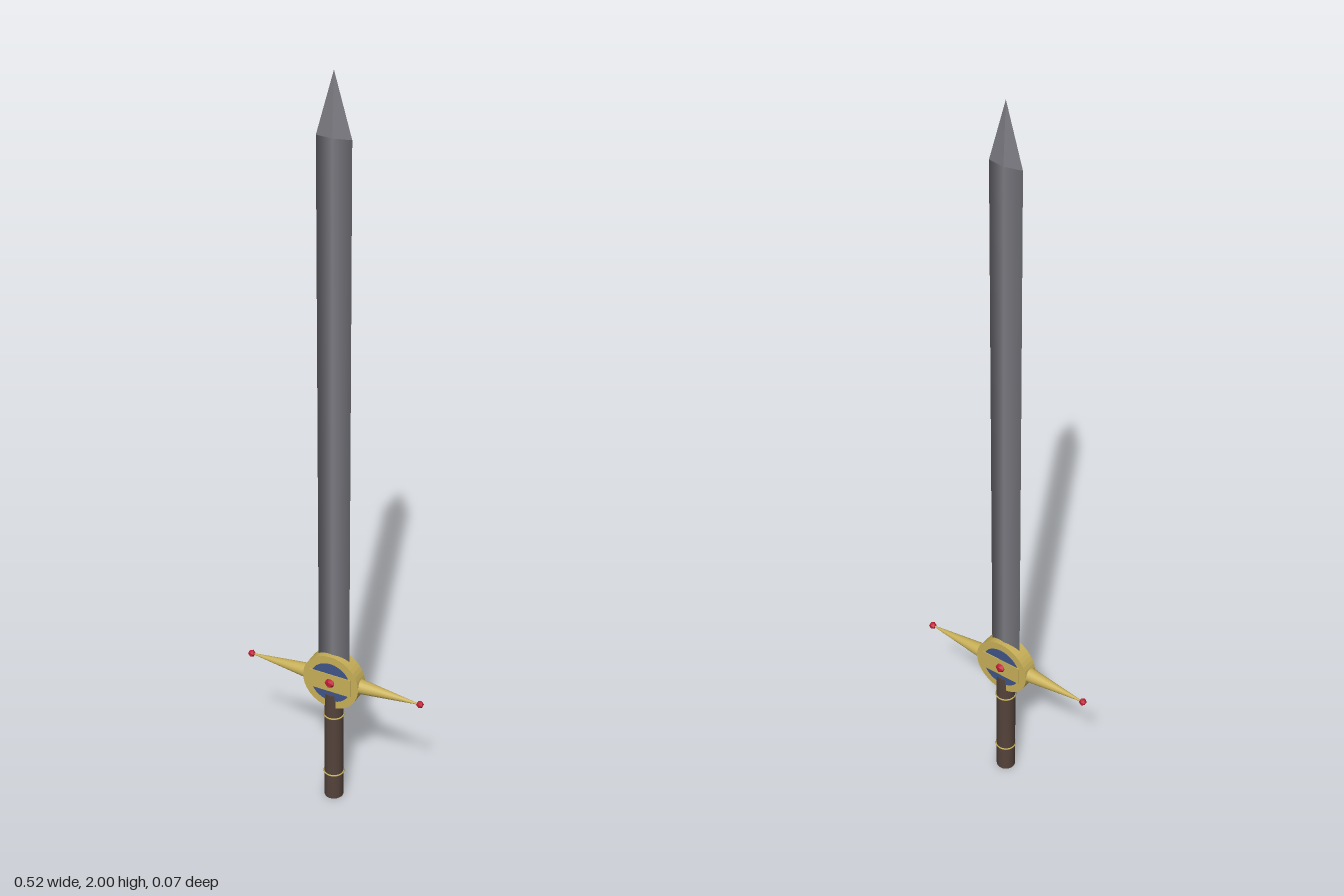
import * as THREE from 'three';

const mat = (color, flatShading = false) => new THREE.MeshStandardMaterial({ color, flatShading });

export function createModel() {
  const model = new THREE.Group();
  const steel = mat(0x7d7d84), steelFlat = mat(0x7d7d84, true);
  const gold = mat(0xc8b058), blue = mat(0x3f5488), brown = mat(0x54433b), red = mat(0xc02035, true);
  const guardY = 0.387;

  const add = (name, geometry, material, x = 0, y = 0, z = 0) => {
    const mesh = new THREE.Mesh(geometry, material);
    mesh.name = name;
    mesh.position.set(x, y, z);
    model.add(mesh);
    return mesh;
  };

  // Blade: a flat diamond section, then a faceted point
  const flatten = 0.009 / 0.045;
  const blade = new THREE.CylinderGeometry(0.045, 0.045, 1.45, 4, 1, true).scale(1, 1, flatten);
  add('blade', blade, steel, 0, 1.125);
  const tip = new THREE.ConeGeometry(0.045, 0.15, 4, 1, true).scale(1, 1, flatten);
  add('bladeTip', tip, steelFlat, 0, 1.925);

  // Round guard: gold ring around a blue disc
  const ringShape = new THREE.Shape().absarc(0, 0, 0.081, 0, Math.PI * 2);
  ringShape.holes.push(new THREE.Path().absarc(0, 0, 0.058, 0, Math.PI * 2, true));
  const ring = new THREE.ExtrudeGeometry(ringShape, { depth: 0.042, bevelEnabled: false, curveSegments: 20 });
  add('guardRing', ring.translate(0, 0, -0.021), gold, 0, guardY);
  const disc = new THREE.CylinderGeometry(0.059, 0.059, 0.044, 32).rotateX(Math.PI / 2);
  add('guardDisc', disc, blue, 0, guardY);

  // Gold band across both faces of the disc
  add('guardBand', new THREE.BoxGeometry(0.118, 0.054, 0.048), gold, 0, guardY);

  // Tapered arms with gem ends, and a gem on each face
  for (const s of [1, -1]) {
    const arm = new THREE.CylinderGeometry(0.002, 0.021, 0.172, 20).rotateZ(-s * Math.PI / 2);
    add('guardArm', arm, gold, s * 0.156, guardY);
    add('armGem', new THREE.IcosahedronGeometry(0.0105, 0), red, s * 0.249, guardY);
    add('faceGem', new THREE.IcosahedronGeometry(0.0155, 0), red, 0, guardY, s * 0.021);
  }

  // Grip with two thin gold bands
  add('grip', new THREE.CylinderGeometry(0.026, 0.026, 0.346, 20), brown, 0, 0.173);
  for (const y of [0.08, 0.272]) {
    add('gripBand', new THREE.TorusGeometry(0.0262, 0.0025, 6, 24).rotateX(Math.PI / 2), gold, 0, y);
  }
  return model;
}
